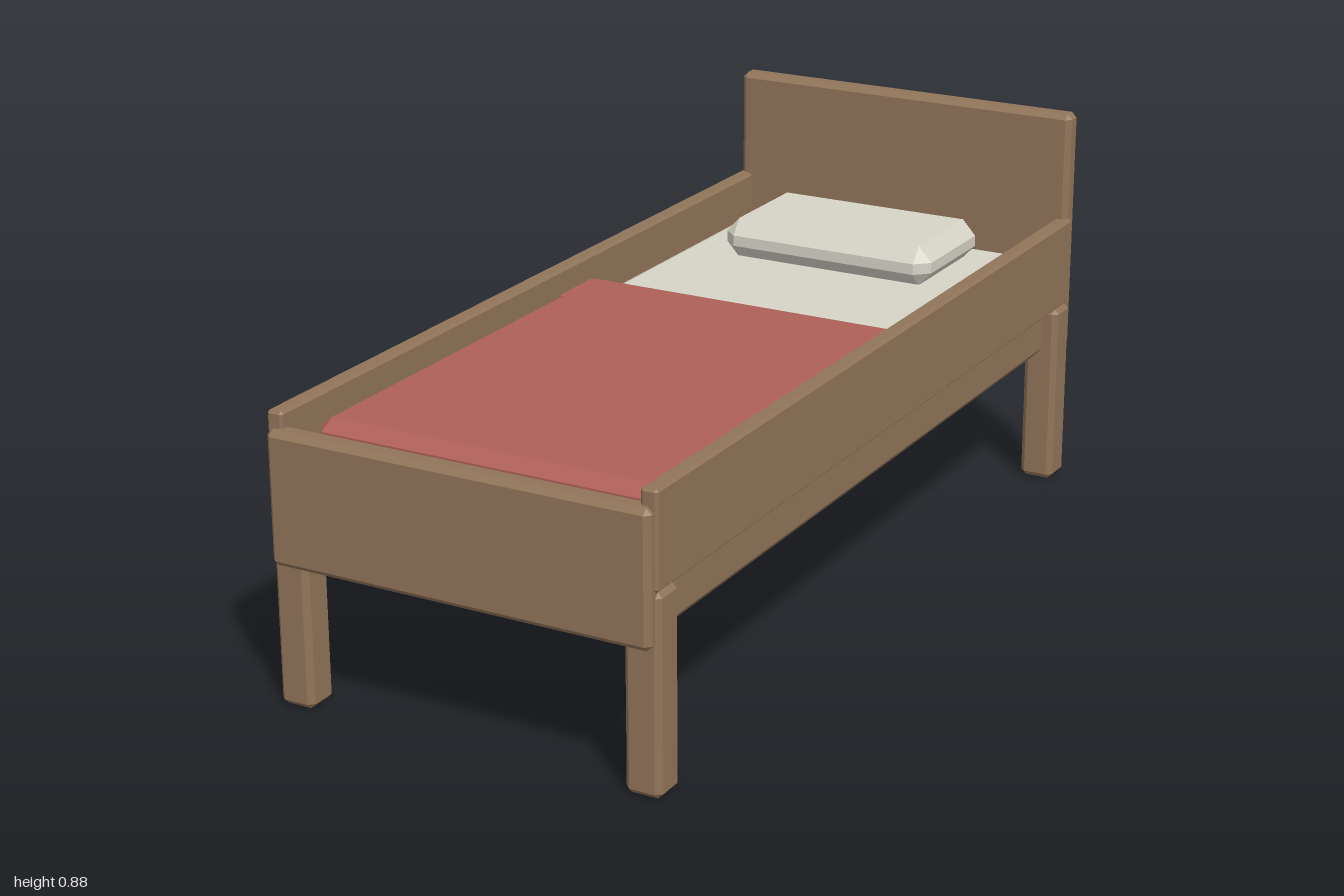
import * as THREE from 'three';
import { ConvexGeometry } from 'three/addons/geometries/ConvexGeometry.js';

// Box with chamfered edges between two corners; c is the chamfer along x, y and z
function chamferBox(min, max, c) {
  const mid = min.map((v, i) => (v + max[i]) / 2);
  const half = min.map((v, i) => (max[i] - v) / 2);
  const pts = [];
  for (const sx of [-1, 1]) for (const sy of [-1, 1]) for (const sz of [-1, 1]) {
    const s = [sx, sy, sz];
    for (let full = 0; full < 3; full++) {
      pts.push(new THREE.Vector3(...s.map((k, i) =>
        mid[i] + k * (half[i] - (i === full ? 0 : c[i])))));
    }
  }
  return new ConvexGeometry(pts);
}

export function createModel() {
  const bed = new THREE.Group();
  bed.name = 'bed';

  const material = (name, color) => {
    const m = new THREE.MeshStandardMaterial({ color });
    m.name = name;
    return m;
  };
  const wood = material('brown wood', 0x907459);
  const linen = material('off-white linen', 0xd6d3c6);
  const wool = material('red blanket', 0xad6058);

  const add = (name, mat, min, max, c = [0.012, 0.012, 0.012]) => {
    const mesh = new THREE.Mesh(chamferBox(min, max, c), mat);
    mesh.name = name;
    bed.add(mesh);
  };

  // End boards and the base
  add('headboard', wood, [-0.43, 0.31, -1], [0.43, 0.88, -0.95]);
  add('footboard', wood, [-0.43, 0.31, 0.95], [0.43, 0.595, 1]);
  add('base', wood, [-0.405, 0.31, -0.97], [0.405, 0.42, 0.97], [0.015, 0.018, 0.015]);

  // Side rails and legs, mirrored left and right
  for (const [side, s] of [['left', 1], ['right', -1]]) {
    const span = (a, b) => (s > 0 ? [a, b] : [-b, -a]);
    const [r0, r1] = span(0.4, 0.437);
    add(side + 'Rail', wood, [r0, 0.425, -0.97], [r1, 0.63, 0.98], [0.006, 0.006, 0.006]);
    const [l0, l1] = span(0.36, 0.44);
    add(side + 'FrontLeg', wood, [l0, 0, 0.902], [l1, 0.425, 0.98]);
    add(side + 'BackLeg', wood, [l0, 0, -0.972], [l1, 0.425, -0.892]);
  }

  // Bedding
  add('mattress', linen, [-0.39, 0.4, -0.91], [0.39, 0.55, 0.89], [0.035, 0.02, 0.035]);
  add('pillow', linen, [-0.262, 0.545, -0.84], [0.262, 0.64, -0.54], [0.032, 0.035, 0.03]);
  add('blanket', wool, [-0.39, 0.46, -0.18], [0.39, 0.59, 0.9], [0.025, 0.02, 0.035]);
  add('blanketFold', wool, [-0.402, 0.5, -0.182], [0.402, 0.575, -0.05], [0.003, 0.003, 0.003]);

  return bed;
}
